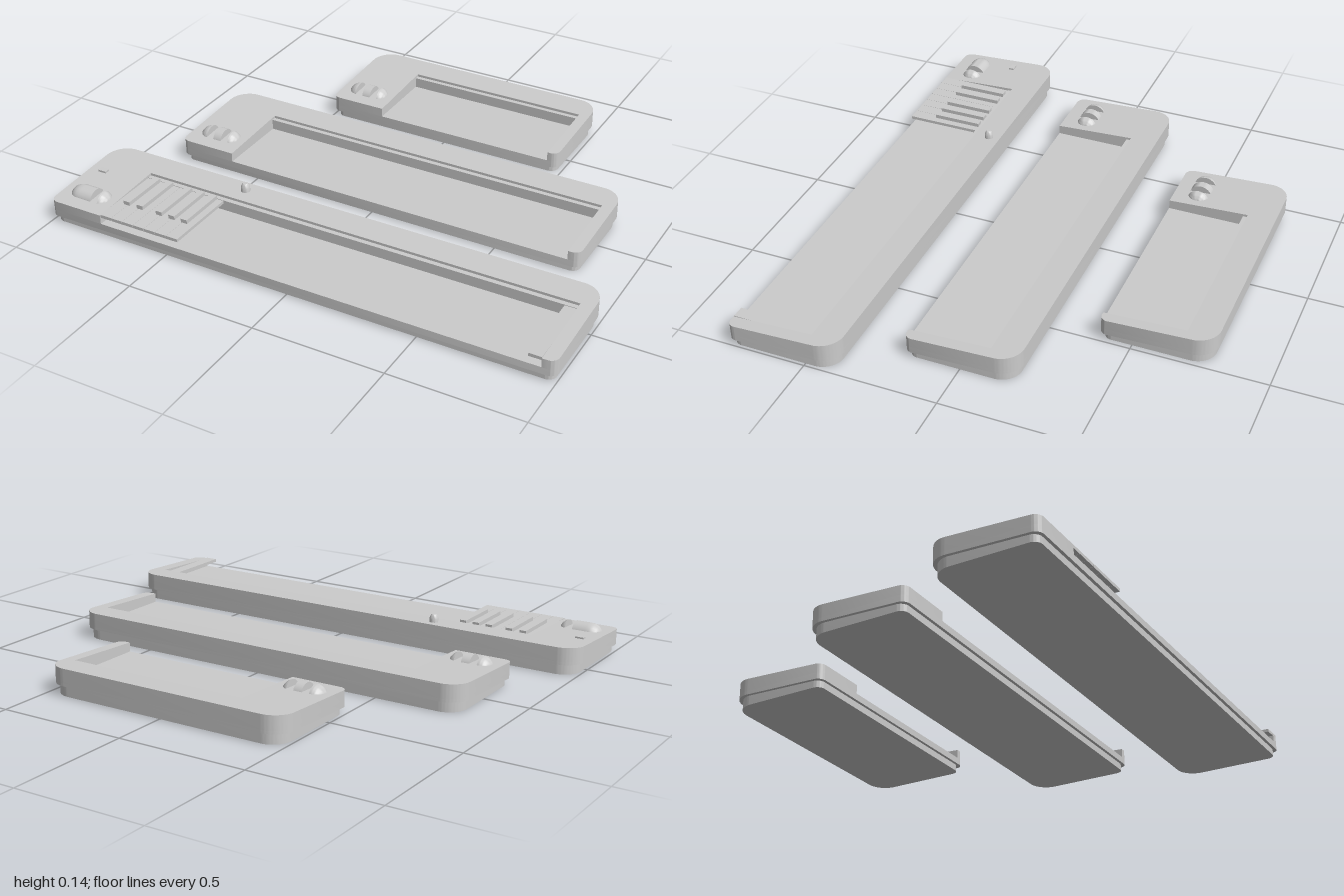
import * as THREE from 'three';
import { toCreasedNormals } from 'three/addons/utils/BufferGeometryUtils.js';

const material = new THREE.MeshStandardMaterial({ color: 0xcccccc, side: THREE.DoubleSide });
const DEPTH = 0.416;      // front to back size of every unit
const FLOOR = 0.052;      // height of the key bed
const topAt = (d) => 0.087 + 0.02 * (d / DEPTH);      // d = distance from the front edge
const bottomAt = (d) => 0.026 + 0.015 * (d / DEPTH);

function add(parent, name, geometry, x = 0, y = 0, z = 0) {
  const mesh = new THREE.Mesh(toCreasedNormals(geometry, 0.6), material);
  mesh.name = name;
  mesh.position.set(x, y, z);
  parent.add(mesh);
  return mesh;
}

// Plan outline: big round corners at the back, small ones in front, optional key bed notch
function outline(w, inset, notch) {
  const s = new THREE.Shape(), h = w / 2 - inset;
  const f = inset, b = DEPTH - inset, R = 0.08 - inset / 2, r = 0.03;
  s.moveTo(-h + r, f);
  if (notch) {
    s.lineTo(notch.x0, f);
    s.lineTo(notch.x0, notch.back);
    s.lineTo(notch.x1, notch.back);
    s.lineTo(notch.x1, f);
  }
  s.lineTo(h - r, f);
  s.absarc(h - r, f + r, r, -Math.PI / 2, 0);
  s.absarc(h - R, b - R, R, 0, Math.PI / 2);
  s.absarc(-h + R, b - R, R, Math.PI / 2, Math.PI);
  s.absarc(-h + r, f + r, r, Math.PI, Math.PI * 1.5);
  return s;
}

// Extrude a plan upward, then slope its bottom and top along the depth
function slab(shape, low, high) {
  const g = new THREE.ExtrudeGeometry(shape, { depth: 1, bevelEnabled: false, curveSegments: 10 });
  g.rotateX(-Math.PI / 2);
  const p = g.attributes.position;
  for (let i = 0; i < p.count; i++) {
    const d = -p.getZ(i);
    p.setY(i, p.getY(i) < 0.5 ? low(d) : high(d));
  }
  g.computeVertexNormals();
  return g;
}

// Slice of a lying capsule between u0 and u1, closed at both ends
function capsuleSlice(u0, u1, half, R) {
  const pts = [new THREE.Vector2(0, u0)], n = 12;
  for (let i = 0; i <= n; i++) {
    const u = u0 + (u1 - u0) * (0.5 - 0.5 * Math.cos((Math.PI * i) / n));
    const over = Math.max(0, Math.abs(u) - (half - R));
    pts.push(new THREE.Vector2(Math.sqrt(Math.max(0, R * R - over * over)), u));
  }
  pts.push(new THREE.Vector2(0, u1));
  return new THREE.LatheGeometry(pts, 28).rotateZ(-Math.PI / 2);
}

function makeUnit(name, { x, w, front, bed, wheelX, gaps }) {
  const unit = new THREE.Group();
  unit.name = name;
  unit.position.set(x, 0, front);
  const notch = { x0: bed[0] - x, x1: bed[1] - x, back: 0.308 };
  const flat = (y) => () => y;
  add(unit, 'base', slab(outline(w, 0.012), flat(0), flat(0.045)));
  add(unit, 'lowerBody', slab(outline(w, 0), bottomAt, flat(FLOOR)));
  add(unit, 'upperBody', slab(outline(w, 0, notch), flat(FLOOR), topAt));

  // narrow ledge along the back of the key bed
  add(unit, 'bedLedge', new THREE.BoxGeometry(notch.x1 - notch.x0, 0.04, 0.018),
    (notch.x0 + notch.x1) / 2, FLOOR + 0.02, -0.299);

  // round control split by finger grooves
  const half = 0.085;
  const cuts = [-half, ...gaps.flatMap((g) => [g - 0.015, g + 0.015]), half];
  for (let i = 0; i < cuts.length; i += 2) {
    add(unit, 'controlWheel', capsuleSlice(cuts[i], cuts[i + 1], half, 0.044), wheelX - x, 0.074, -0.096);
  }
  return unit;
}

export function createModel() {
  const model = new THREE.Group();
  model.name = 'keyboardBases';

  const large = makeUnit('largeUnit',
    { x: 0, w: 2, front: 0.795, bed: [-0.775, 0.95], wheelX: -0.885, gaps: [0.037] });
  const medium = makeUnit('mediumUnit',
    { x: -0.002, w: 1.664, front: 0.203, bed: [-0.605, 0.785], wheelX: -0.717, gaps: [-0.026, 0.037] });
  const small = makeUnit('smallUnit',
    { x: -0.003, w: 0.99, front: -0.381, bed: [-0.273, 0.45], wheelX: -0.385, gaps: [-0.026, 0.037] });
  model.add(large, medium, small);

  // one octave of wide keys, plus the last key at the far end
  const keyW = 0.335 / 7;
  const keyXs = [...Array(7).keys()].map((i) => -0.775 + keyW * (i + 0.5));
  for (const kx of [...keyXs, 0.926]) {
    add(large, 'wideKey', new THREE.BoxGeometry(keyW - 0.001, 0.012, 0.288), kx, 0.084, -0.146);
  }
  // raised narrow keys
  for (const kx of [-0.731, -0.673, -0.589, -0.534, -0.48]) {
    add(large, 'narrowKey', new THREE.BoxGeometry(0.026, 0.022, 0.19), kx, 0.094, -0.195);
  }

  // stick post
  const post = [[0, 0], [0.017, 0], [0.017, 0.025], [0.012, 0.038], [0.009, 0.041], [0, 0.041]];
  add(large, 'post', new THREE.LatheGeometry(post.map((p) => new THREE.Vector2(...p)), 20), -0.395, 0.095, -0.37);

  // small push button
  add(large, 'button', new THREE.BoxGeometry(0.034, 0.02, 0.02), -0.942, 0.095, -0.24);
  return model;
}
